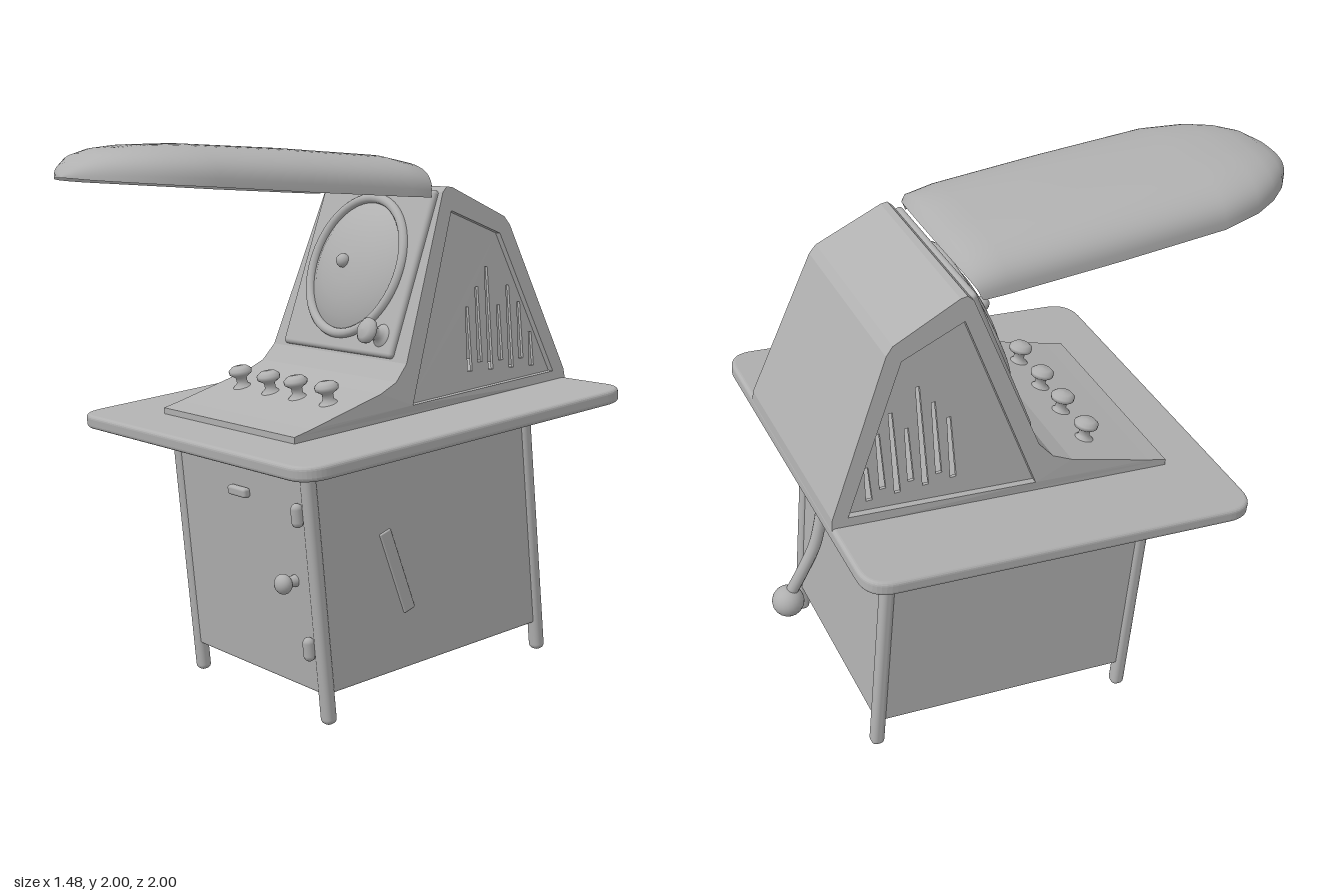
import * as THREE from 'three';
import { RoundedBoxGeometry } from 'three/addons/geometries/RoundedBoxGeometry.js';

const V2 = (a) => a.map(([x, y]) => new THREE.Vector2(x, y));

export function createModel() {
  const root = new THREE.Group();
  root.name = 'console';
  const gray = new THREE.MeshStandardMaterial({ color: 0xb0b0b0, side: THREE.DoubleSide });
  gray.name = 'plain gray';

  const add = (parent, name, geo, x = 0, y = 0, z = 0) => {
    const m = new THREE.Mesh(geo, gray);
    m.name = name;
    m.position.set(x, y, z);
    parent.add(m);
    return m;
  };
  const box = (w, h, d, r = 0.01) => new RoundedBoxGeometry(w, h, d, 3, r);
  // mushroom knob standing on y = 0
  const knobGeo = (s) => new THREE.LatheGeometry(V2([[0.5, 0], [0.38, 0.12], [0.24, 0.25], [0.24, 0.5],
    [0.5, 0.68], [0.52, 0.85], [0.35, 1], [0, 1.04]]).map((p) => p.multiplyScalar(s)), 20);

  // cabinet and table share a slight forward tilt
  const base = new THREE.Group();
  base.name = 'tiltedBase';
  base.rotation.x = 0.105;
  root.add(base);

  add(base, 'cabinet', box(0.84, 0.83, 1.015), 0, 0.55, -0.28);
  add(base, 'cabinetTrim', box(0.89, 0.05, 1.06, 0.015), 0, 0.967, -0.28);
  for (const x of [-0.405, 0.405])
    for (const z of [0.212, -0.775])
      add(base, 'leg', box(0.052, 0.945, 0.05, 0.02), x, 0.4975, z);

  // table top with rounded corners and rim
  const W = 0.725, F = 0.44, B = -0.975, R = 0.09;
  const t = new THREE.Shape();
  t.moveTo(-W + R, -F);
  t.lineTo(W - R, -F); t.quadraticCurveTo(W, -F, W, -F + R);
  t.lineTo(W, -B - R); t.quadraticCurveTo(W, -B, W - R, -B);
  t.lineTo(-W + R, -B); t.quadraticCurveTo(-W, -B, -W, -B - R);
  t.lineTo(-W, -F + R); t.quadraticCurveTo(-W, -F, -W + R, -F);
  const table = new THREE.ExtrudeGeometry(t, {
    depth: 0.024, bevelThickness: 0.014, bevelSize: 0.014, bevelSegments: 4, curveSegments: 10 });
  table.rotateX(-Math.PI / 2);
  add(base, 'tableTop', table, 0, 1.003, 0);

  // door fittings
  add(base, 'doorHandle', box(0.11, 0.035, 0.03), 0.01, 0.807, 0.24);
  const doorKnob = add(base, 'doorKnob', new THREE.SphereGeometry(0.036, 20, 14), 0.3, 0.53, 0.28);
  doorKnob.scale.z = 0.85;
  const knobStem = add(base, 'doorKnobStem', new THREE.CylinderGeometry(0.018, 0.022, 0.04, 14), 0.3, 0.53, 0.245);
  knobStem.rotation.x = Math.PI / 2;
  for (const y of [0.3, 0.78])
    add(base, 'hinge', new THREE.CapsuleGeometry(0.021, 0.045, 4, 12), 0.37, y, 0.245);

  // slim lever on the cabinet side
  const lever = add(base, 'sideLever', box(0.012, 0.32, 0.05, 0.005), 0.421, 0.5, -0.125);
  lever.rotation.x = 0.26;

  // console body: side profiles (z, y) extruded across x, narrowing upward
  const halfWidth = (y) => 0.418 - 0.073 * THREE.MathUtils.clamp((y - 1.1) / 0.75, 0, 1);
  const across = (shape, depth, place) => {
    const g = new THREE.ExtrudeGeometry(shape, { depth, bevelEnabled: false });
    g.rotateY(-Math.PI / 2);
    g.translate(depth / 2, 0, 0);
    const p = g.attributes.position;
    for (let i = 0; i < p.count; i++) p.setX(i, place(p.getX(i), p.getY(i)));
    g.computeVertexNormals();
    return g;
  };
  const shell = new THREE.Shape(V2([[0.37, 1.0], [0.37, 1.03], [0.3, 1.05], [0, 1.145], [-0.07, 1.18],
    [-0.12, 1.24], [-0.325, 1.83], [-0.345, 1.85], [-0.37, 1.847], [-0.61, 1.74], [-0.635, 1.71],
    [-0.87, 1.17], [-0.875, 1.13]]));
  const opening = V2([[-0.14, 1.095], [-0.36, 1.765], [-0.585, 1.68], [-0.815, 1.165]]);
  shell.holes.push(new THREE.Path(opening));
  add(root, 'consoleShell', across(shell, 2, (x, y) => x * halfWidth(y)));

  // recessed side panels with slits
  const panel = new THREE.Shape(opening);
  for (let i = 0; i < 7; i++) {
    const z = -0.43 - 0.05 * i;
    const top = Math.min(1.42 + 0.07 * (i % 3), 1.11 + (z + 0.82) / 0.442);
    const low = 1.19 + 0.03 * (i % 2);
    panel.holes.push(new THREE.Path(V2([[z - 0.011, low], [z + 0.011, low], [z + 0.007, top], [z - 0.007, top]])));
  }
  for (const s of [-1, 1])
    add(root, 'sidePanel', across(panel, 0.012, (x, y) => x + s * (halfWidth(y) - 0.03)));

  // sloping front plate with a round domed face
  const face = new THREE.Group();
  face.name = 'frontFace';
  face.position.set(0, 1.54, -0.228);
  face.rotation.x = -0.332;
  root.add(face);
  add(face, 'facePlate', box(0.65, 0.62, 0.04, 0.015), 0, 0, 0.005);
  add(face, 'faceRing', new THREE.TorusGeometry(0.258, 0.018, 12, 56), 0, 0.01, 0.028);
  const dome = add(face, 'faceDome', new THREE.LatheGeometry(V2([[0.25, 0.02], [0.235, 0.03], [0.2, 0.05],
    [0.14, 0.071], [0.07, 0.083], [0, 0.086]]), 48), 0, 0.01, 0);
  const nub = add(face, 'faceNub', new THREE.SphereGeometry(0.026, 14, 10), 0, 0.01, 0.09);
  const faceKnob = add(face, 'faceKnob', knobGeo(0.09), 0.25, -0.235, 0.022);
  for (const m of [dome, nub, faceKnob]) m.rotation.x = Math.PI / 2;

  // row of control knobs on the deck
  for (const x of [-0.27, -0.085, 0.085, 0.27]) {
    const k = add(root, 'deckKnob', knobGeo(0.083), x, 1.1, 0.115);
    k.rotation.x = 0.2;
  }

  // raised lid: hollow arched sections (z, half width, rim y, crown y)
  const ribs = [[-0.34, 0.32, 1.82, 1.905], [-0.31, 0.332, 1.812, 1.94], [-0.2, 0.335, 1.815, 1.962],
    [0.2, 0.338, 1.835, 1.985], [0.6, 0.335, 1.858, 2.0], [0.75, 0.298, 1.866, 1.996],
    [0.84, 0.25, 1.872, 1.986], [0.91, 0.19, 1.877, 1.968], [0.965, 0.115, 1.882, 1.937],
    [0.99, 0.06, 1.886, 1.908], [1.0, 0.0, 1.888, 1.89]];
  const N = 28, pos = [], idx = [];
  ribs.forEach(([z, w, lo, hi], i) => {
    for (let j = 0; j <= N; j++) {
      const a = (j / N) * Math.PI, c = Math.cos(a), s = Math.max(0, Math.sin(a));
      const slant = i < 2 ? 0.05 * (1 - s) * (1 - i / 2) : 0;
      pos.push(w * Math.sign(c) * Math.abs(c) ** 0.7, lo + (hi - lo) * s ** 0.75, z + slant);
      if (i < ribs.length - 1 && j < N) {
        const p = i * (N + 1) + j, q = p + N + 1;
        idx.push(p, p + 1, q, p + 1, q + 1, q);
      }
    }
  });
  const lid = new THREE.BufferGeometry();
  lid.setAttribute('position', new THREE.Float32BufferAttribute(pos, 3));
  lid.setIndex(idx);
  lid.computeVertexNormals();
  add(root, 'lid', lid);

  // crank lever hanging at the back
  const path = new THREE.CatmullRomCurve3([[-0.05, 1.08, -0.755], [-0.05, 0.96, -0.785], [-0.06, 0.8, -0.83],
    [-0.05, 0.68, -0.885], [-0.03, 0.58, -0.93]].map((p) => new THREE.Vector3(...p)));
  add(root, 'crankArm', new THREE.TubeGeometry(path, 28, 0.022, 12));
  add(root, 'crankBall', new THREE.SphereGeometry(0.058, 20, 14), -0.03, 0.55, -0.94);
  add(root, 'crankMount', box(0.1, 0.03, 0.1), -0.05, 1.075, -0.77);

  return root;
}
